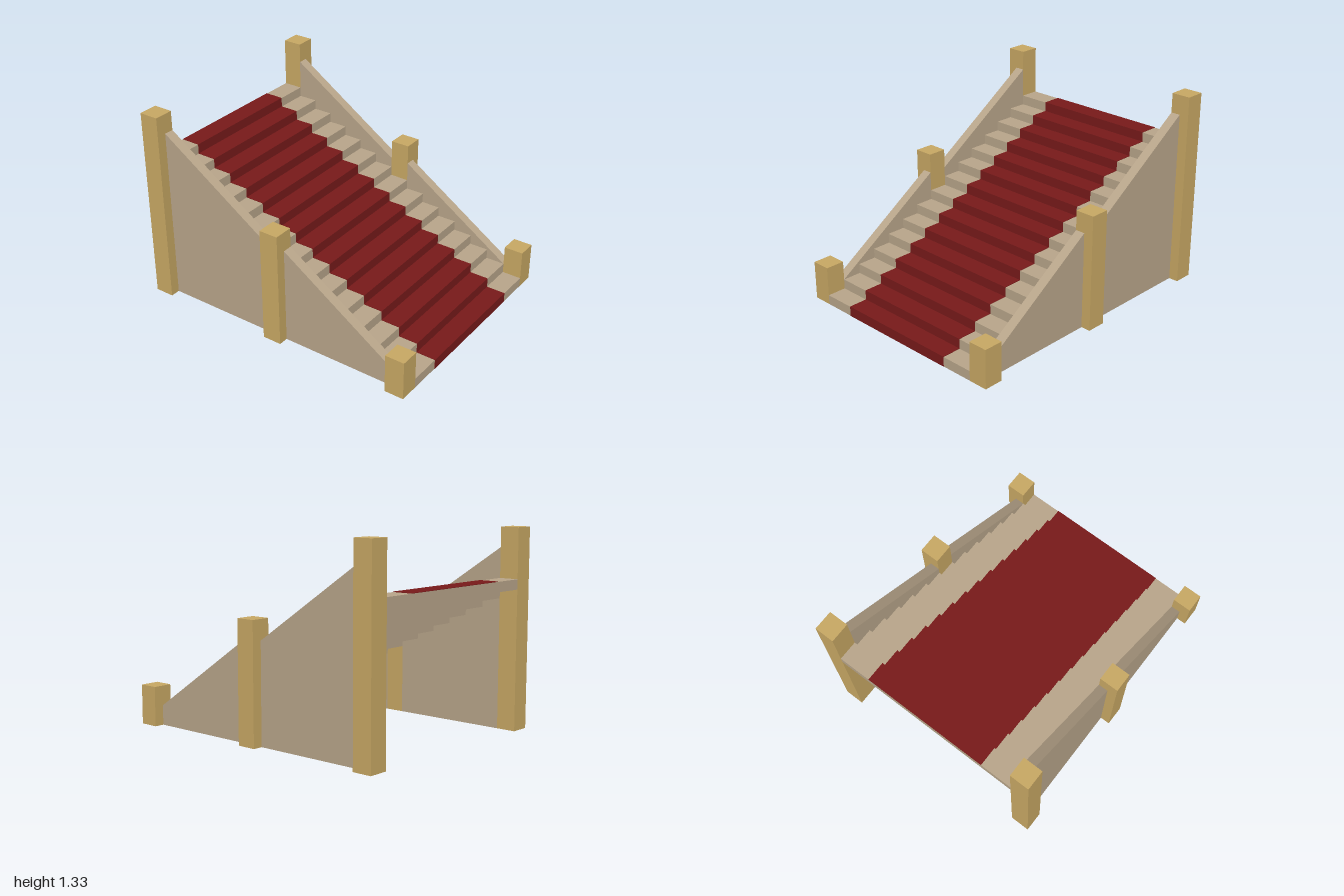
import * as THREE from 'three';

const N = 15;               // number of steps
const RISE = 1 / N, RUN = 2 / N;
const POST = 2 / 15;        // post thickness
const INNER = 2 / 3;        // half width of the flight

const paint = (color) => new THREE.MeshStandardMaterial({ color, flatShading: true });

// Extrude a (z, y) outline along x, centred on x
function sideProfile(points, width, x, material, name) {
  const shape = new THREE.Shape(points.map(([z, y]) => new THREE.Vector2(z, y)));
  const geo = new THREE.ExtrudeGeometry(shape, { depth: width, bevelEnabled: false });
  geo.translate(0, 0, -width / 2).rotateY(-Math.PI / 2).translate(x, 0, 0);
  const mesh = new THREE.Mesh(geo, material);
  mesh.name = name;
  return mesh;
}

// Stair line from the bottom front to the top back, moved forward and up
function stairLine(dz, dy) {
  const pts = [[1 + dz, 0]];
  for (let i = 0; i < N; i++) {
    const y = (i + 1) * RISE + dy;
    pts.push([1 - i * RUN + dz, y]);
    pts.push([i === N - 1 ? -1 : 1 - (i + 1) * RUN + dz, y]);
  }
  return pts;
}

export function createModel() {
  const group = new THREE.Group();
  const stone = paint(0xb8a58a), wood = paint(0xc8a864), red = paint(0x781a1a);

  // Steps: separate slabs, open underneath
  const steps = new THREE.Group();
  steps.name = 'steps';
  const stepGeo = new THREE.BoxGeometry(INNER * 2, RISE, RUN);
  for (let i = 0; i < N; i++) {
    const step = new THREE.Mesh(stepGeo, stone);
    step.name = 'step';
    step.position.set(0, (i + 0.5) * RISE, 1 - (i + 0.5) * RUN);
    steps.add(step);
  }
  group.add(steps);

  // Carpet: thin layer over treads and risers
  const outline = [...stairLine(0.002, 0.003), ...stairLine(0, 0).reverse()];
  group.add(sideProfile(outline, 0.884, 0, red, 'carpet'));

  // Sloped side walls between square posts, mirrored
  const wallTop = (z) => 0.1333 + (0.8667 - z) * (2 / 3);
  for (const side of [1, -1]) {
    const label = side > 0 ? 'left' : 'right';
    for (const [front, back] of [[0.8667, 0.0667], [-0.0667, -0.8667]]) {
      // the upper wall starts at the height where the lower one ends
      const lift = front < 0 ? -0.0889 : 0;
      const pts = [[front, 0], [front, wallTop(front) + lift], [back, wallTop(back) + lift], [back, 0]];
      group.add(sideProfile(pts, POST / 2, side * (INNER + POST / 4), stone, label + 'Wall'));
    }
    for (const [z, h] of [[1 - POST / 2, 0.2667], [0, 0.8], [-1 + POST / 2, 1.3333]]) {
      const post = new THREE.Mesh(new THREE.BoxGeometry(POST, h, POST), wood);
      post.name = label + 'Post';
      post.position.set(side * (INNER + POST / 2), h / 2, z);
      group.add(post);
    }
  }
  return group;
}
